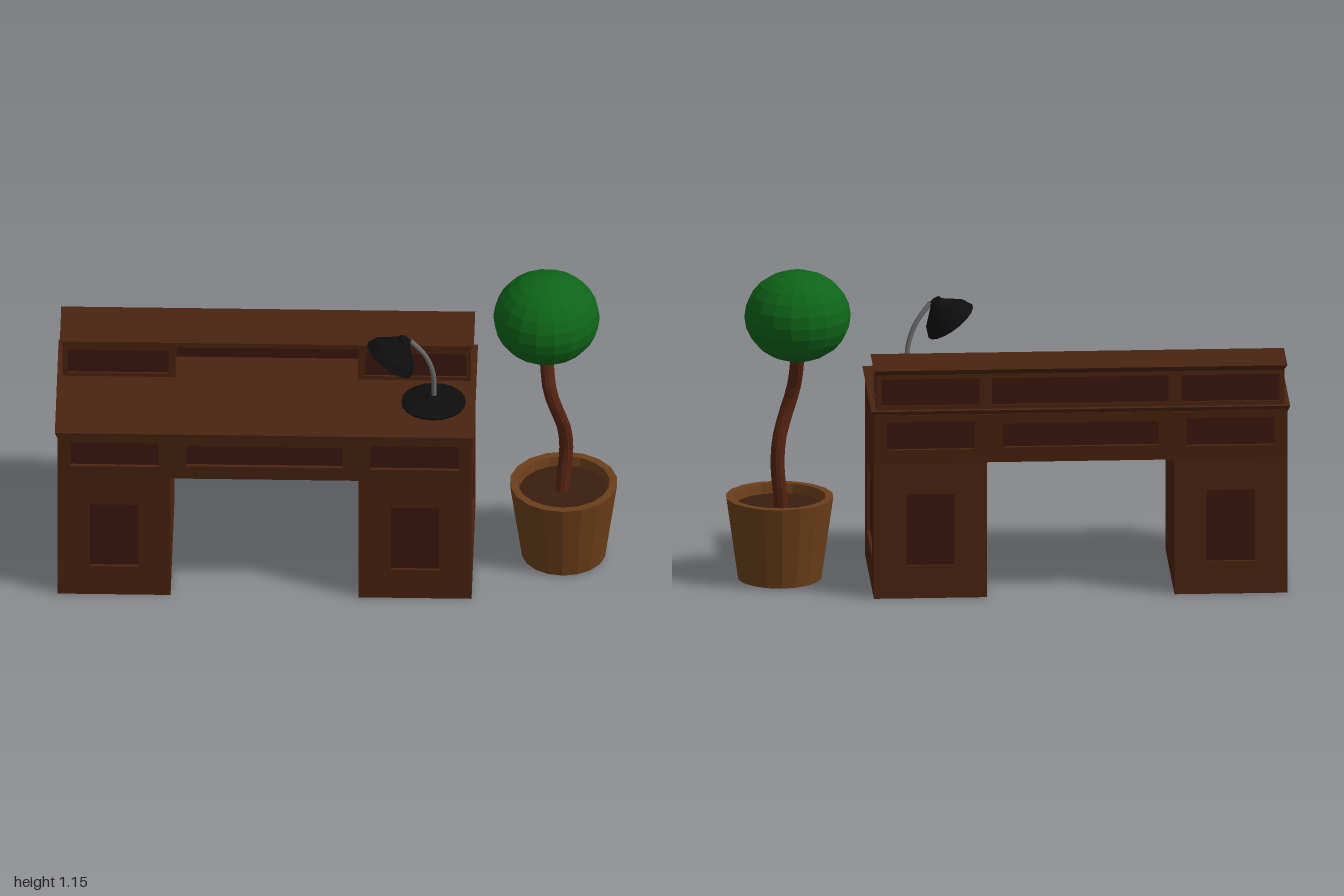
import * as THREE from 'three';

const mat = (color, side = THREE.FrontSide) =>
  new THREE.MeshStandardMaterial({ color, flatShading: true, side });
const wood = mat(0x4a2310), panelWood = mat(0x3c170e), clay = mat(0x6b3f1a, THREE.DoubleSide);
const bark = mat(0x552413), leaf = mat(0x0f6419), soilMat = mat(0x3a1d10);
const black = mat(0x0e0e0e, THREE.DoubleSide), steel = mat(0x6a6a6a), glow = mat(0xd8b020);

function add(parent, name, geometry, material, x = 0, y = 0, z = 0) {
  const m = new THREE.Mesh(geometry, material);
  m.name = name;
  m.position.set(x, y, z);
  parent.add(m);
  return m;
}

// Box given by its limits
function block(parent, name, x0, x1, y0, y1, z0, z1, material = wood) {
  return add(parent, name, new THREE.BoxGeometry(x1 - x0, y1 - y0, z1 - z0), material,
    (x0 + x1) / 2, (y0 + y1) / 2, (z0 + z1) / 2);
}

// Board whose underside is drawn in, like a cornice
function cornice(parent, name, x0, x1, y0, y1, z0, z1, inset, frontInset = inset) {
  const m = block(parent, name, x0, x1, y0, y1, z0, z1);
  const p = m.geometry.attributes.position;
  for (let i = 0; i < p.count; i++) {
    if (p.getY(i) > 0) continue;
    p.setX(i, p.getX(i) - Math.sign(p.getX(i)) * inset);
    p.setZ(i, p.getZ(i) - (p.getZ(i) > 0 ? frontInset : -inset));
  }
  m.geometry.computeVertexNormals();
}

// Frame with sunken panels; holes are [x0, x1, y0, y1], flare leans the face out at the top
function framedFace(parent, name, [x0, x1, y0, y1], holes, depth, flare = 0) {
  const g = new THREE.Group();
  g.name = name;
  parent.add(g);
  const rect = (path, a, b, c, d) => path.moveTo(a, c).lineTo(b, c).lineTo(b, d).lineTo(a, d).closePath();
  const shape = rect(new THREE.Shape(), x0, x1, y0, y1);
  for (const h of holes) shape.holes.push(rect(new THREE.Path(), ...h));
  const geo = new THREE.ExtrudeGeometry(shape, { depth, bevelEnabled: false });
  const p = geo.attributes.position;
  for (let i = 0; i < p.count; i++)
    if (p.getZ(i) > depth / 2) p.setZ(i, depth + flare * (p.getY(i) - y0) / (y1 - y0));
  geo.computeVertexNormals();
  add(g, 'frame', geo, wood);
  for (const [a, b, c, d] of holes) block(g, 'panel', a, b, c, d, -0.002, 0.003, panelWood);
  return g;
}

function makeDesk() {
  const desk = new THREE.Group();
  desk.name = 'desk';
  const W = 0.738, D = 0.29, t = 0.015, knee = 0.335;

  // Pedestals and apron core
  for (const s of [-1, 1]) {
    const a = s * knee, b = s * (W - t);
    block(desk, 'pedestal', Math.min(a, b), Math.max(a, b), 0, 0.5, -D + t, D - t);
    const side = framedFace(desk, 'pedestalSide', [-D + t, D - t, 0, 0.68], [[-0.175, 0.175, 0.12, 0.385]], t);
    side.position.x = s * (W - t);
    side.rotation.y = s * Math.PI / 2;
  }
  block(desk, 'apronCore', -W + t, W - t, 0.5, 0.68, -D + t, D - t);

  // Front and back faces
  for (const s of [1, -1]) {
    const face = new THREE.Group();
    face.name = s > 0 ? 'frontFace' : 'backFace';
    face.rotation.y = s > 0 ? 0 : Math.PI;
    face.position.z = s * (D - t);
    desk.add(face);
    framedFace(face, 'leftPedestalFace', [knee, W, 0, 0.5], [[0.45, 0.622, 0.12, 0.385]], t);
    framedFace(face, 'rightPedestalFace', [-W, -knee, 0, 0.5], [[-0.622, -0.45, 0.12, 0.385]], t);
    framedFace(face, 'drawerFace', [-W, W, 0.5, 0.68],
      [[-0.693, -0.378, 0.55, 0.655], [-0.278, 0.278, 0.555, 0.645], [0.378, 0.693, 0.55, 0.655]], t, 0.009);
  }
  cornice(desk, 'deskTop', -0.7475, 0.7475, 0.672, 0.695, -0.3, 0.3, 0.009, 0.002);

  // Raised back shelf: two small cabinets with an open niche between
  const H = 0.728, y0 = 0.695, y1 = 0.832, zb = -0.278, zf = -0.068, e = 0.01, n = 0.325;
  const shelf = new THREE.Group();
  shelf.name = 'backShelf';
  desk.add(shelf);
  for (const s of [-1, 1]) {
    const span = (a, b) => (s > 0 ? [a, b] : [-b, -a]);
    block(shelf, 'cabinet', ...span(n, H - e), y0, y1, zb + e, zf - e);
    framedFace(shelf, 'cabinetFront', [...span(n, H), y0, y1], [[...span(0.35, 0.71), 0.71, 0.808]], e)
      .position.z = zf - e;
    const mid = (zb + zf) / 2;
    const side = framedFace(shelf, 'cabinetSide', [-0.095, 0.095, y0, y1], [[-0.083, 0.083, 0.705, 0.806]], e);
    side.position.set(s * (H - e), 0, mid);
    side.rotation.y = s * Math.PI / 2;
  }
  block(shelf, 'nicheBack', -n, n, y0, y1, zb + e, -0.2, panelWood);
  const back = framedFace(shelf, 'shelfBack', [-H, H, y0, y1],
    [[-0.71, -0.36, 0.71, 0.808], [-0.315, 0.315, 0.71, 0.808], [0.36, 0.71, 0.71, 0.808]], e);
  back.position.z = zb + e;
  back.rotation.y = Math.PI;
  cornice(shelf, 'shelfTop', -0.738, 0.738, 0.825, 0.843, -0.29, -0.066, 0.011, 0);
  desk.position.x = -0.2525;
  return desk;
}

function tube(points, radius, sides) {
  const curve = new THREE.CatmullRomCurve3(points.map(p => new THREE.Vector3(...p)));
  return new THREE.TubeGeometry(curve, 14, radius, sides, false);
}

function makeLamp() {
  const lamp = new THREE.Group();
  lamp.name = 'deskLamp';
  // Base
  const base = [[0, 0], [0.115, 0], [0.115, 0.007], [0.03, 0.026], [0.02, 0.034], [0, 0.034]];
  add(lamp, 'lampBase', new THREE.LatheGeometry(base.map(p => new THREE.Vector2(...p)), 20),
    black, 0.345, 0.698, 0.078);
  // Arm
  add(lamp, 'lampArm', tube([[0.347, 0.72, 0.078], [0.343, 0.83, 0.084], [0.315, 0.91, 0.092],
    [0.262, 0.982, 0.106]], 0.009, 8), steel);
  // Shade and bulb, built along +y with the opening at y = 0
  const head = new THREE.Group();
  head.name = 'lampHead';
  head.position.set(0.19, 0.908, 0.118);
  head.quaternion.setFromUnitVectors(new THREE.Vector3(0, 1, 0),
    new THREE.Vector3(0.57, 0.81, -0.1).normalize());
  const shade = [[0.098, 0], [0.085, 0.03], [0.028, 0.085], [0.022, 0.1], [0, 0.1]];
  add(head, 'lampShade', new THREE.LatheGeometry(shade.map(p => new THREE.Vector2(...p)), 18), black);
  add(head, 'bulb', new THREE.SphereGeometry(0.025, 10, 8), glow, 0, 0.022, 0);
  lamp.add(head);
  return lamp;
}

function makeTree() {
  const tree = new THREE.Group();
  tree.name = 'pottedTree';
  // Pot with a thick rim, and soil
  const pot = [[0, 0.005], [0.15, 0.005], [0.193, 0.307], [0.165, 0.307], [0.158, 0.255]];
  add(tree, 'pot', new THREE.LatheGeometry(pot.map(p => new THREE.Vector2(...p)), 18), clay, 0.807, 0, -0.008);
  add(tree, 'soil', new THREE.CylinderGeometry(0.161, 0.158, 0.015, 18), soilMat, 0.807, 0.263, -0.008);
  // Winding trunk
  add(tree, 'trunk', tube([[0.8, 0.25, -0.015], [0.807, 0.33, -0.027], [0.816, 0.43, -0.035],
    [0.808, 0.53, -0.025], [0.782, 0.62, -0.004], [0.758, 0.7, -0.004], [0.748, 0.78, -0.032],
    [0.743, 0.9, -0.06]], 0.025, 10), bark);
  // Crown
  add(tree, 'crown', new THREE.SphereGeometry(0.19, 18, 12), leaf, 0.745, 0.985, -0.05).scale.y = 0.865;
  return tree;
}

export function createModel() {
  const model = new THREE.Group();
  model.name = 'deskWithLampAndTree';
  model.add(makeDesk(), makeLamp(), makeTree());
  return model;
}
